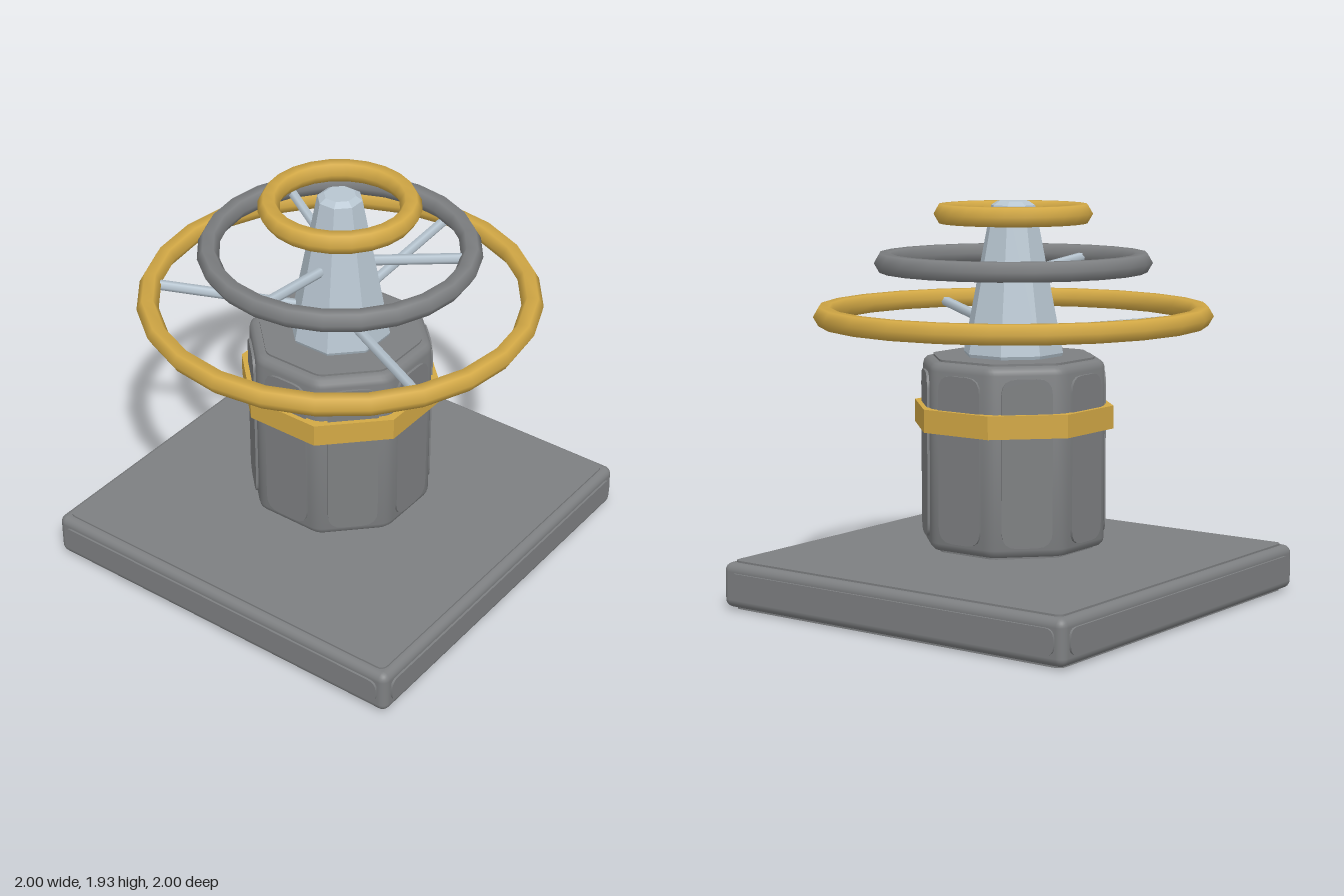
import * as THREE from 'three';
import { toCreasedNormals } from 'three/addons/utils/BufferGeometryUtils.js';
import { RoundedBoxGeometry } from 'three/addons/geometries/RoundedBoxGeometry.js';

const mat = (name, color) => {
  const m = new THREE.MeshStandardMaterial({ color });
  m.name = name;
  return m;
};

// Closed outline through the corner points, each corner rounded over distance r
function roundedOutline(pts, r) {
  const shape = new THREE.Shape();
  pts.forEach((p, i) => {
    const prev = pts[(i + pts.length - 1) % pts.length];
    const next = pts[(i + 1) % pts.length];
    const a = p.clone().add(prev.clone().sub(p).setLength(r));
    const b = p.clone().add(next.clone().sub(p).setLength(r));
    if (i === 0) shape.moveTo(a.x, a.y);
    else shape.lineTo(a.x, a.y);
    shape.quadraticCurveTo(p.x, p.y, b.x, b.y);
  });
  shape.closePath();
  return shape;
}

const rectangle = (w, h) =>
  [[-1, -1], [1, -1], [1, 1], [-1, 1]].map(([x, y]) => new THREE.Vector2(x * w / 2, y * h / 2));

// Octagon with flats on the axes, sized by the distance to its flats
const octagon = (apothem) => Array.from({ length: 8 }, (_, i) => {
  const a = (i + 0.5) * Math.PI / 4;
  const r = apothem / Math.cos(Math.PI / 8);
  return new THREE.Vector2(Math.cos(a) * r, Math.sin(a) * r);
});

function extrude(shape, depth, bevel = 0) {
  const geo = new THREE.ExtrudeGeometry(shape, {
    depth: depth - 2 * bevel, curveSegments: 4, bevelEnabled: bevel > 0,
    bevelThickness: bevel, bevelSize: bevel, bevelOffset: -bevel, bevelSegments: 3,
  });
  geo.translate(0, 0, bevel);
  return toCreasedNormals(geo, 0.6);
}

export function createModel() {
  const model = new THREE.Group();
  const grey = mat('dark grey metal', 0x7d7f81);
  const gold = mat('gold', 0xd2a845);
  const steel = mat('pale steel', 0xb7c5d0);

  const add = (parent, name, geo, material) => {
    const m = new THREE.Mesh(geo, material);
    m.name = name;
    parent.add(m);
    return m;
  };
  // Extrusion stood upright, from y0 to y1
  const upright = (parent, name, shape, y0, y1, material, bevel) => {
    const geo = extrude(shape, y1 - y0, bevel);
    geo.rotateX(-Math.PI / 2).translate(0, y0, 0);
    return add(parent, name, geo, material);
  };
  // Raised side panels, repeated around the vertical axis
  const sidePanels = (parent, name, count, w, h, r, y, inner, outer) => {
    const geo = extrude(roundedOutline(rectangle(w, h), r), outer - inner);
    geo.translate(0, y, inner);
    for (let i = 0; i < count; i++) {
      add(parent, name, geo, grey).rotation.y = i * Math.PI * 2 / count;
    }
  };

  // Square base with a raised panel on every face
  const base = new THREE.Group();
  base.name = 'base';
  model.add(base);
  add(base, 'baseBlock', new RoundedBoxGeometry(1.98, 0.216, 1.98, 3, 0.04), grey).position.y = 0.118;
  upright(base, 'baseTopPanel', roundedOutline(rectangle(1.9, 1.9), 0.04), 0.22, 0.235, grey);
  upright(base, 'baseBottomPanel', roundedOutline(rectangle(1.9, 1.9), 0.04), 0, 0.015, grey);
  sidePanels(base, 'baseSidePanel', 4, 1.89, 0.12, 0.045, 0.122, 0.98, 1);

  // Octagonal drum, floating just above the base
  const drum = new THREE.Group();
  drum.name = 'drum';
  model.add(drum);
  upright(drum, 'drumBody', roundedOutline(octagon(0.418), 0.04), 0.285, 1.185, grey, 0.04);
  upright(drum, 'drumTopPanel', roundedOutline(octagon(0.37), 0.03), 1.175, 1.195, grey);
  upright(drum, 'drumBottomPanel', roundedOutline(octagon(0.37), 0.03), 0.275, 0.295, grey);
  sidePanels(drum, 'drumSidePanel', 8, 0.24, 0.795, 0.075, 0.733, 0.41, 0.43);

  // Gold band around the drum
  const bandShape = new THREE.Shape(octagon(0.453));
  bandShape.holes.push(new THREE.Path(octagon(0.412)));
  upright(model, 'drumBand', bandShape, 0.855, 0.965, gold);

  // Tapered octagonal spindle
  const k = 1 / Math.cos(Math.PI / 8);
  const profile = [[0, 1.195], [0.22, 1.195], [0.226, 1.21], [0.099, 1.91], [0.07, 1.93], [0, 1.93]]
    .map(([r, y]) => new THREE.Vector2(r * k, y));
  const spindle = new THREE.LatheGeometry(profile, 8, Math.PI / 8);
  add(model, 'spindle', toCreasedNormals(spindle, 0.3), steel);

  // Hexagonal-section rings
  const ring = (name, radius, y, material) => {
    const geo = new THREE.TorusGeometry(radius, 0.052, 6, 24);
    geo.rotateX(-Math.PI / 2);
    add(model, name, geo, material).position.y = y;
  };
  ring('lowerRing', 0.903, 1.39, gold);
  ring('middleRing', 0.613, 1.64, grey);
  ring('topRing', 0.328, 1.87, gold);

  // Three sloping spokes per ring
  const spokes = (name, start, r0, y0, r1, y1) => {
    const length = Math.hypot(r1 - r0, y1 - y0);
    const geo = new THREE.CylinderGeometry(0.025, 0.025, length, 6);
    geo.rotateZ(-Math.PI / 2 + Math.atan2(y1 - y0, r1 - r0));
    geo.translate((r0 + r1) / 2, (y0 + y1) / 2, 0);
    for (let i = 0; i < 3; i++) {
      add(model, name, geo, steel).rotation.y = start + i * Math.PI * 2 / 3;
    }
  };
  spokes('lowerSpoke', 0, 0.18, 1.315, 0.89, 1.38);
  spokes('middleSpoke', Math.PI, 0.13, 1.585, 0.6, 1.63);

  return model;
}
